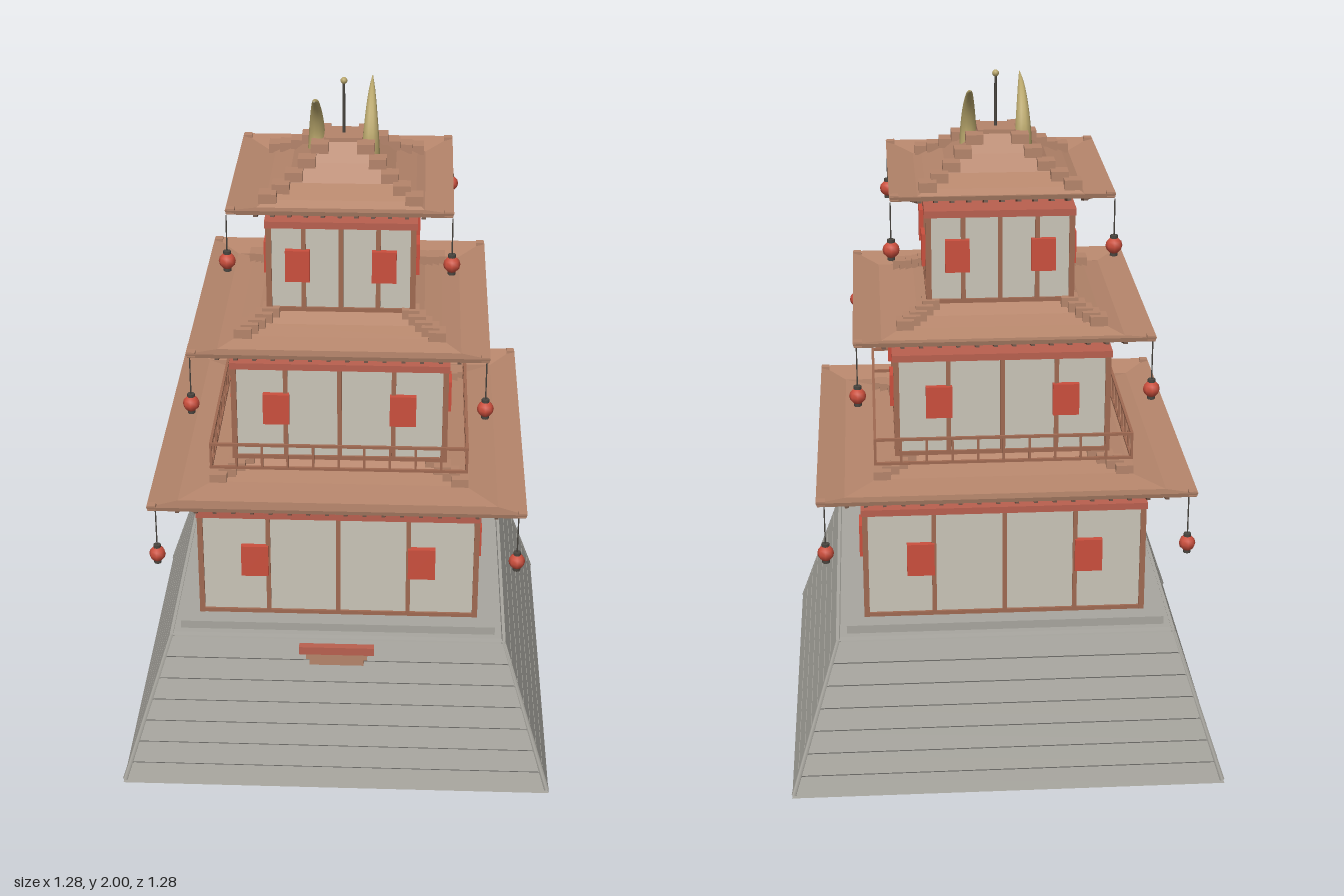
import * as THREE from 'three';

const mat = (name, color) => new THREE.MeshStandardMaterial({ name, color });
const M = {
  stone: mat('stone grey', 0xa8a69f),
  joint: mat('joint grey', 0x6e6d69),
  plaster: mat('cream plaster', 0xcac5b8),
  roof: mat('roof brown', 0xb5856b),
  frame: mat('frame brown', 0xa06a52),
  dark: mat('dark wood', 0x604536),
  beam: mat('beam red', 0xb9604f),
  red: mat('lacquer red', 0xcb4f3d),
  horn: mat('horn gold', 0xb9a76c),
  iron: mat('iron', 0x4a4640),
};

function add(parent, name, geometry, material, x = 0, y = 0, z = 0) {
  const m = new THREE.Mesh(geometry, material);
  m.name = name;
  m.position.set(x, y, z);
  parent.add(m);
  return m;
}

const box = (parent, name, material, w, h, d, x, y, z) =>
  add(parent, name, new THREE.BoxGeometry(w, h, d), material, x, y, z);

function group(parent, name) {
  const g = new THREE.Group();
  g.name = name;
  parent.add(g);
  return g;
}

// Square solid from [half width, y] pairs, listed from the bottom upward
function squareLoft(profile) {
  const pts = profile.map(([h, y]) => new THREE.Vector2(h * Math.SQRT2, y));
  const g = new THREE.LatheGeometry(pts, 4, Math.PI / 4).toNonIndexed();
  g.computeVertexNormals();
  return g;
}

// Runs the builder once for each of the four sides
function fourSides(parent, name, build) {
  for (let i = 0; i < 4; i++) {
    const g = group(parent, name);
    g.rotation.y = i * Math.PI / 2;
    build(g);
  }
}

function buildBase(root) {
  const base = group(root, 'stoneBase');
  const half = y => 0.636 - 0.14 * y / 0.44;
  const n = 7, step = 0.44 / n;
  for (let i = 0; i < n; i++) {
    const a = i * step, b = a + step;
    add(base, 'stoneCourse', squareLoft([[0, a], [half(a), a], [half(b - 0.005), b - 0.005], [0, b - 0.005]]), M.stone);
    if (i < n - 1) {
      add(base, 'courseJoint', squareLoft([[half(b) - 0.003, b - 0.005], [half(b) - 0.003, b]]), M.joint);
    }
  }
  add(base, 'topSlab', squareLoft([[0, 0.43], [0.49, 0.43], [0.485, 0.445], [0, 0.445]]), M.stone);
  box(base, 'plinth', M.stone, 0.93, 0.025, 0.93, 0, 0.4575, 0);
  // rounded corner edging
  const foot = new THREE.Vector3(0.63, 0.008, 0.63), head = new THREE.Vector3(0.49, 0.438, 0.49);
  fourSides(base, 'cornerEdge', g =>
    add(g, 'edging', new THREE.TubeGeometry(new THREE.LineCurve3(foot, head), 1, 0.008, 6), M.stone));
  // small front steps
  box(base, 'topStep', M.beam, 0.22, 0.025, 0.022, 0, 0.423, 0.528);
  box(base, 'middleStep', M.roof, 0.18, 0.02, 0.03, 0, 0.401, 0.52);
  box(base, 'lowerStep', M.roof, 0.16, 0.02, 0.025, 0, 0.381, 0.521);
}

function buildStorey(root, { half, y0, y1, winX, winW, winY, winH }) {
  const s = group(root, 'storey');
  const h = y1 - y0, mid = (y0 + y1) / 2;
  box(s, 'walls', M.plaster, half * 2 - 0.014, h, half * 2 - 0.014, 0, mid, 0);
  box(s, 'topBeam', M.beam, half * 2 + 0.008, 0.02, half * 2 + 0.008, 0, y1 + 0.006, 0);
  fourSides(s, 'wallSide', g => {
    for (const t of [-0.5, 0, 0.5]) box(g, 'post', M.frame, 0.013, h, 0.014, t * half, mid, half - 0.007);
    box(g, 'cornerPost', M.frame, 0.016, h, 0.016, half - 0.007, mid, half - 0.007);
    box(g, 'sill', M.frame, half * 2, 0.012, 0.014, 0, y0 + 0.006, half - 0.007);
    for (const sx of [-1, 1]) box(g, 'shutter', M.red, winW, winH, 0.02, sx * winX, winY, half + 0.001);
  });
}

function buildLantern(parent, x, eaveY, z, y) {
  const l = group(parent, 'lantern');
  l.position.set(x, y, z);
  const len = eaveY - y;
  add(l, 'cord', new THREE.CylinderGeometry(0.002, 0.002, len, 5), M.iron, 0, len / 2, 0);
  add(l, 'lanternBody', new THREE.SphereGeometry(0.024, 8, 6), M.red);
  for (const s of [-1, 1]) add(l, 'lanternCap', new THREE.CylinderGeometry(0.011, 0.011, 0.01, 8), M.iron, 0, s * 0.025, 0);
}

// Bowl-shaped upturned eave rising to a sloping crown given as [half, y] pairs
function buildRoof(root, { half, eave, crown, lanternX, lanternY }) {
  const r = group(root, 'roof');
  const low = eave - 0.035, inner = half - 0.08;
  add(r, 'roofShell', squareLoft([
    [0, low + 0.004], [inner, low], [half - 0.004, eave - 0.013], [half, eave],
    [inner, low + 0.014], ...crown,
  ]), M.roof);
  // rafters under the upturned lip
  const count = Math.round(half * 34);
  const tilt = Math.atan2(0.022, 0.076);
  fourSides(r, 'eaveSide', g => {
    for (let i = 0; i < count; i++) {
      const x = ((i + 0.5) / count * 2 - 1) * (inner + 0.02);
      const b = box(g, 'rafter', M.dark, 0.011, 0.01, 0.078, x, low + 0.009, half - 0.046);
      b.rotation.x = -tilt;
    }
    box(g, 'cornerTip', M.roof, 0.024, 0.014, 0.024, half - 0.014, eave - 0.003, half - 0.014);
    buildLantern(g, lanternX, eave - 0.015, lanternX, lanternY);
    // stepped blocks along the hip
    const far = half * 0.65, near = crown[crown.length - 2][0] + 0.015, steps = 5;
    for (let i = 0; i < steps; i++) {
      const p = far + (near - far) * i / (steps - 1);
      box(g, 'hipBlock', M.roof, 0.05, 0.028, 0.05, p, heightAt(crown, p) + 0.006, p);
    }
  });
}

// Height of the crown at a given half width
function heightAt(crown, p) {
  for (let i = 0; i < crown.length - 1; i++) {
    const [a, ya] = crown[i], [b, yb] = crown[i + 1];
    if (p <= a && p >= b) return ya + (yb - ya) * (a - p) / (a - b);
  }
  return crown[0][1];
}

function buildRailing(root) {
  const rail = group(root, 'balconyRailing');
  const h = 0.37, n = 10;
  fourSides(rail, 'railingSide', g => {
    for (const y of [0.942, 1.016]) box(g, 'rail', M.frame, h * 2 + 0.008, 0.008, 0.008, 0, y, h);
    for (let i = 0; i < n; i++) box(g, 'baluster', M.frame, 0.007, 0.074, 0.007, -h + 2 * h * i / n, 0.979, h);
  });
}

// Tapered curved horn
function hornGeometry() {
  const curve = new THREE.CatmullRomCurve3([
    [-0.022, 1.78], [-0.022, 1.83], [0.002, 1.89], [0.05, 1.94], [0.122, 1.967],
  ].map(([z, y]) => new THREE.Vector3(0, y, z)));
  const rings = 16, sides = 10;
  const g = new THREE.TubeGeometry(curve, rings, 0.026, sides);
  const p = g.attributes.position, v = new THREE.Vector3();
  for (let i = 0; i <= rings; i++) {
    const c = curve.getPointAt(i / rings), k = 1 - 0.95 * Math.pow(i / rings, 1.3);
    for (let j = 0; j <= sides; j++) {
      const id = i * (sides + 1) + j;
      v.fromBufferAttribute(p, id).sub(c).multiplyScalar(k).add(c);
      p.setXYZ(id, v.x, v.y, v.z);
    }
  }
  g.computeVertexNormals();
  return g;
}

function buildCrown(root) {
  const c = group(root, 'roofCrown');
  box(c, 'ridgeCap', M.roof, 0.11, 0.03, 0.1, 0, 1.822, 0);
  const horn = hornGeometry();
  add(c, 'rightHorn', horn, M.horn, -0.078, 0, 0);
  add(c, 'leftHorn', horn, M.horn, 0.078, 0, 0).rotation.y = Math.PI;
  add(c, 'finialRod', new THREE.CylinderGeometry(0.004, 0.005, 0.16, 6), M.iron, 0, 1.91, 0);
  add(c, 'finialBall', new THREE.SphereGeometry(0.01, 8, 6), M.horn, 0, 1.99, 0);
}

export function createModel() {
  const root = new THREE.Group();
  root.name = 'pagoda';
  buildBase(root);
  buildStorey(root, { half: 0.412, y0: 0.47, y1: 0.8, winX: 0.245, winW: 0.08, winY: 0.655, winH: 0.1 });
  buildStorey(root, { half: 0.312, y0: 0.94, y1: 1.235, winX: 0.183, winW: 0.076, winY: 1.107, winH: 0.095 });
  buildStorey(root, { half: 0.212, y0: 1.37, y1: 1.63, winX: 0.123, winW: 0.07, winY: 1.513, winH: 0.095 });
  buildRoof(root, { half: 0.54, eave: 0.9, lanternX: 0.517, lanternY: 0.735,
    crown: [[0.37, 0.893], [0.3, 0.91], [0.235, 0.941], [0, 0.941]] });
  buildRoof(root, { half: 0.425, eave: 1.33, lanternX: 0.415, lanternY: 1.172,
    crown: [[0.29, 1.325], [0.24, 1.342], [0.185, 1.371], [0, 1.371]] });
  buildRoof(root, { half: 0.315, eave: 1.717, lanternX: 0.312, lanternY: 1.567,
    crown: [[0.21, 1.71], [0.15, 1.738], [0.1, 1.78], [0.05, 1.825], [0, 1.825]] });
  buildRailing(root);
  buildCrown(root);
  return root;
}
